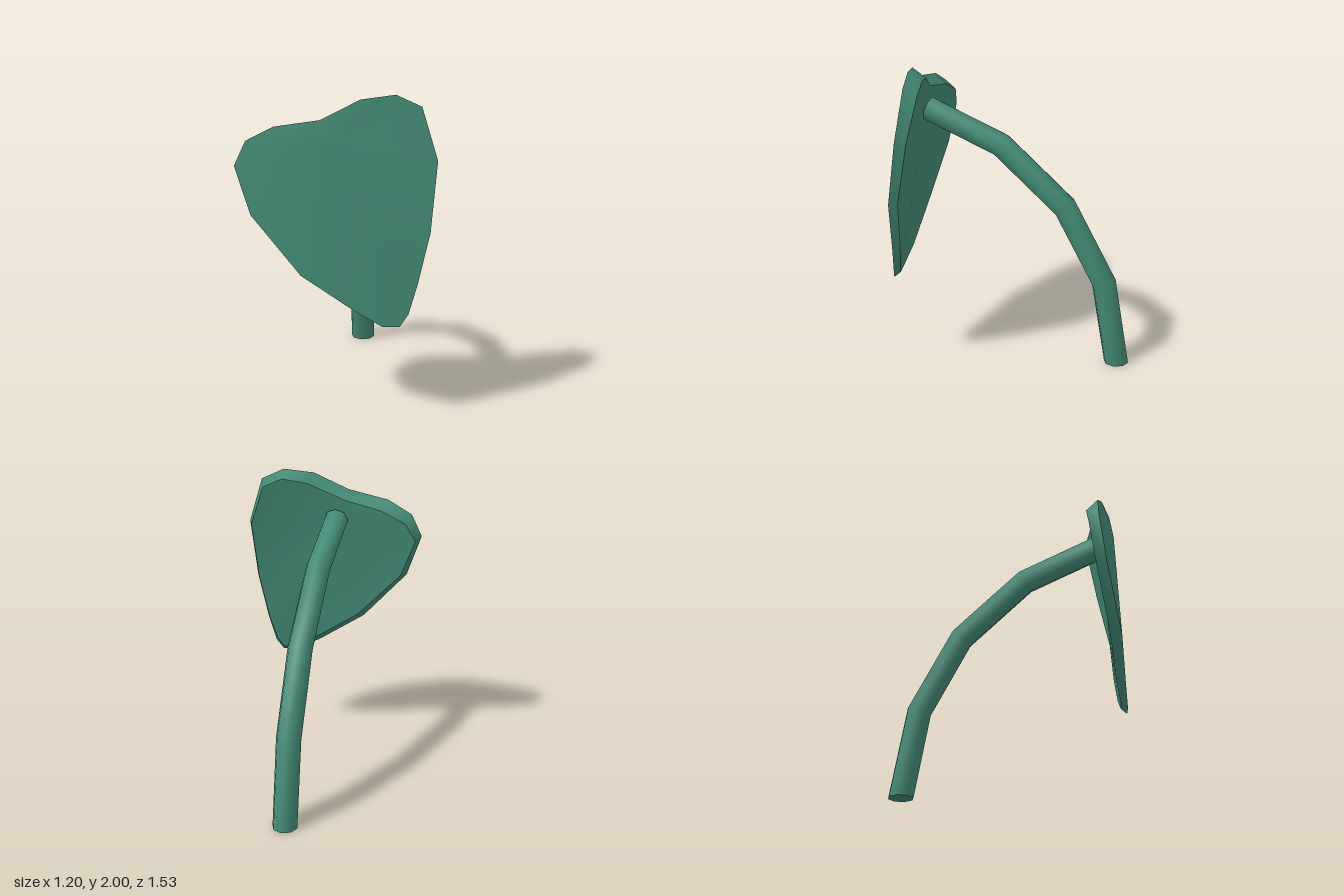
import * as THREE from 'three';

// Indexed geometry with smooth normals from points and triangles
function surface(points, faces) {
  const g = new THREE.BufferGeometry();
  g.setAttribute('position', new THREE.Float32BufferAttribute(points.flat(), 3));
  g.setIndex(faces.flat());
  g.computeVertexNormals();
  return g;
}

// Fan from a centre point to a closed rim that runs clockwise seen from the front
function fan(rim, centre, facesFront) {
  const n = rim.length;
  const faces = rim.map((_, i) => {
    const j = (i + 1) % n;
    return facesFront ? [n, j, i] : [n, i, j];
  });
  return surface([...rim, centre], faces);
}

export function createModel() {
  const model = new THREE.Group();
  const leafGreen = new THREE.MeshStandardMaterial({ color: 0x428a75 });
  leafGreen.name = 'leafGreen';
  const add = (name, geometry, parent) => {
    const mesh = new THREE.Mesh(geometry, leafGreen);
    mesh.name = name;
    parent.add(mesh);
  };

  // Leaf outline: front rim xyz, then the slightly inset back rim xyz
  const outline = [
    [0.35, 2.0, 0.6, 0.34, 1.95, 0.51],
    [0.5, 1.93, 0.577, 0.47, 1.89, 0.495],
    [0.6, 1.62, 0.605, 0.57, 1.61, 0.54],
    [0.57, 1.2, 0.675, 0.545, 1.2, 0.622],
    [0.5, 0.88, 0.692, 0.48, 0.9, 0.645],
    [0.45, 0.7, 0.71, 0.43, 0.73, 0.67],
    [0.4, 0.625, 0.73, 0.385, 0.66, 0.69],
    [0.3, 0.625, 0.745, 0.31, 0.665, 0.7],
    [0.13, 0.72, 0.752, 0.14, 0.76, 0.69],
    [-0.19, 0.93, 0.767, -0.16, 0.96, 0.69],
    [-0.5, 1.28, 0.72, -0.47, 1.29, 0.65],
    [-0.6, 1.57, 0.69, -0.57, 1.55, 0.62],
    [-0.53, 1.72, 0.68, -0.5, 1.67, 0.6],
    [-0.36, 1.81, 0.69, -0.33, 1.75, 0.605],
    [-0.08, 1.86, 0.71, -0.08, 1.8, 0.625],
    [0.15, 1.975, 0.65, 0.17, 1.92, 0.55],
  ];
  const front = outline.map((p) => p.slice(0, 3));
  const back = outline.map((p) => p.slice(3));
  const n = outline.length;

  const leaf = new THREE.Group();
  leaf.name = 'leaf';
  model.add(leaf);
  add('leafFront', fan(front, [-0.06, 1.72, 0.732], true), leaf);
  add('leafBack', fan(back, [-0.05, 1.68, 0.635], false), leaf);
  const edgeFaces = outline.flatMap((_, i) => {
    const j = (i + 1) % n;
    return [[i, j, n + j], [i, n + j, n + i]];
  });
  add('leafEdge', surface([...front, ...back], edgeFaces), leaf);

  // Stem: bent eight-sided tube through centres [y, z], with mitred rings
  const path = [[0, -0.683], [0.575, -0.583], [1.077, -0.31], [1.46, 0.12], [1.668, 0.62]];
  const sides = 8, radius = 0.082, stemX = -0.017;
  const direction = (k) => new THREE.Vector2(...path[k + 1]).sub(new THREE.Vector2(...path[k])).normalize();
  const last = path.length - 1;
  const rings = path.map(([y, z], k) => {
    const before = direction(Math.max(k - 1, 0));
    const after = direction(Math.min(k, last - 1));
    const t = before.clone().add(after).normalize();
    if (k === 0) t.set(1, 0); // level cut at the ground
    const reach = radius / t.dot(after);
    return Array.from({ length: sides }, (_, s) => {
      const a = (s / sides) * Math.PI * 2;
      const side = Math.sin(a) * reach;
      return [stemX + Math.cos(a) * radius, y - t.y * side, z + t.x * side];
    });
  });
  const stemFaces = [];
  for (let k = 0; k < last; k++) {
    for (let s = 0; s < sides; s++) {
      const a = k * sides + s, b = k * sides + ((s + 1) % sides);
      stemFaces.push([a, a + sides, b], [b, a + sides, b + sides]);
    }
  }
  const stem = new THREE.Group();
  stem.name = 'stem';
  model.add(stem);
  add('stemTube', surface(rings.flat(), stemFaces), stem);
  add('stemBase', fan(rings[0], [stemX, ...path[0]], false), stem);
  add('stemTip', fan(rings[last], [stemX, ...path[last]], true), stem);

  return model;
}
